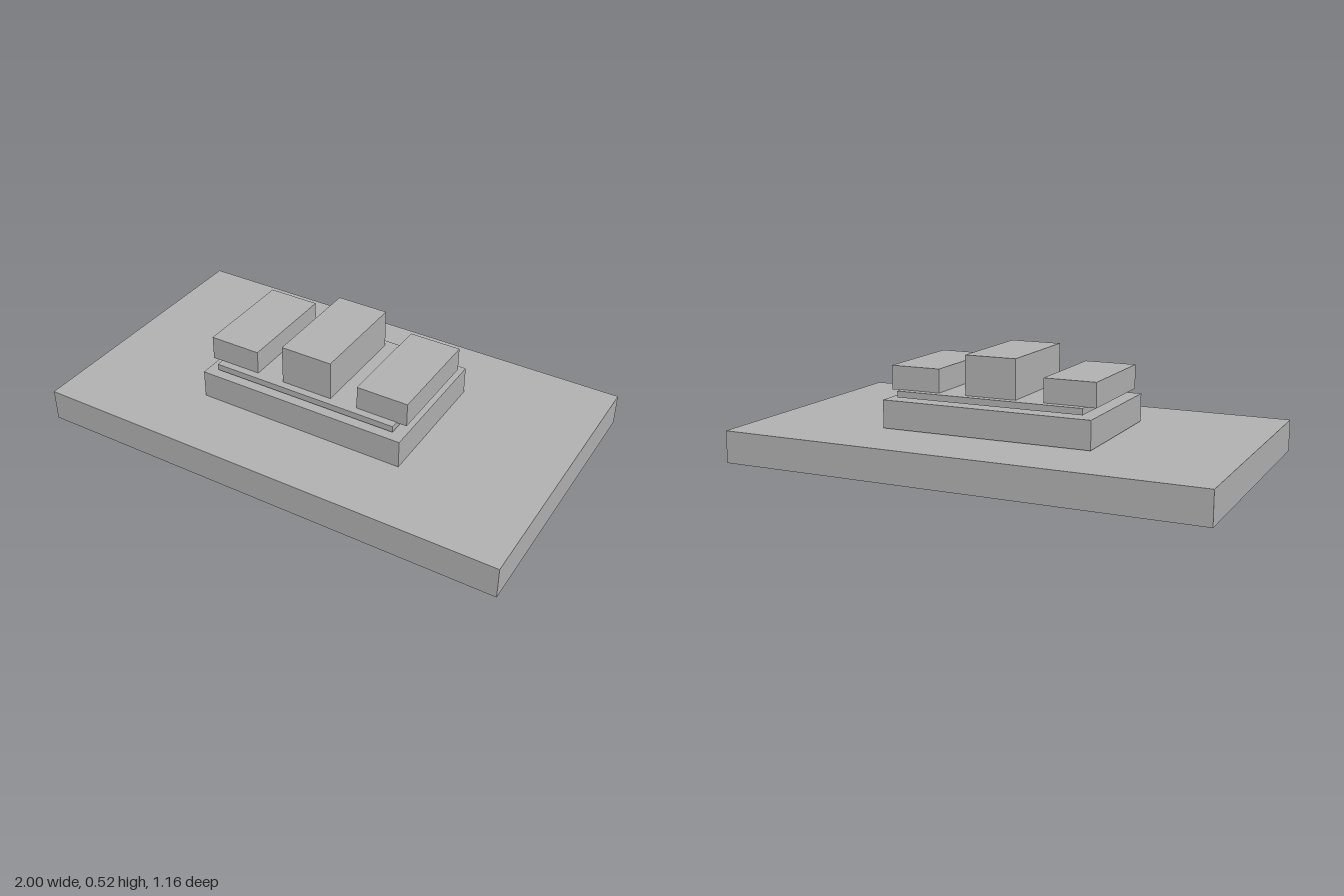
import * as THREE from 'three';

export function createModel() {
  const model = new THREE.Group();
  const grey = new THREE.MeshStandardMaterial({ color: 0xb0b0b0 });
  grey.name = 'plain grey';

  // Box spanning bottom..top in y, centred on z = 0
  const slab = (name, width, depth, bottom, top, x = 0) => {
    const mesh = new THREE.Mesh(new THREE.BoxGeometry(width, top - bottom, depth), grey);
    mesh.name = name;
    mesh.position.set(x, (bottom + top) / 2, 0);
    model.add(mesh);
  };

  // Stacked slabs, separated by thin gaps
  slab('foot', 0.596, 0.465, 0, 0.068);
  slab('basePlate', 2, 1.163, 0.076, 0.209);
  slab('plinth', 0.894, 0.565, 0.212, 0.328);
  slab('topPlate', 0.8, 0.498, 0.336, 0.362);

  // Raised blocks on top: a tall one flanked by two lower ones
  slab('centreBlock', 0.218, 0.434, 0.36, 0.524);
  for (const side of [-1, 1]) {
    slab(side > 0 ? 'leftBlock' : 'rightBlock', 0.216, 0.434, 0.36, 0.459, side * 0.334);
  }

  return model;
}
